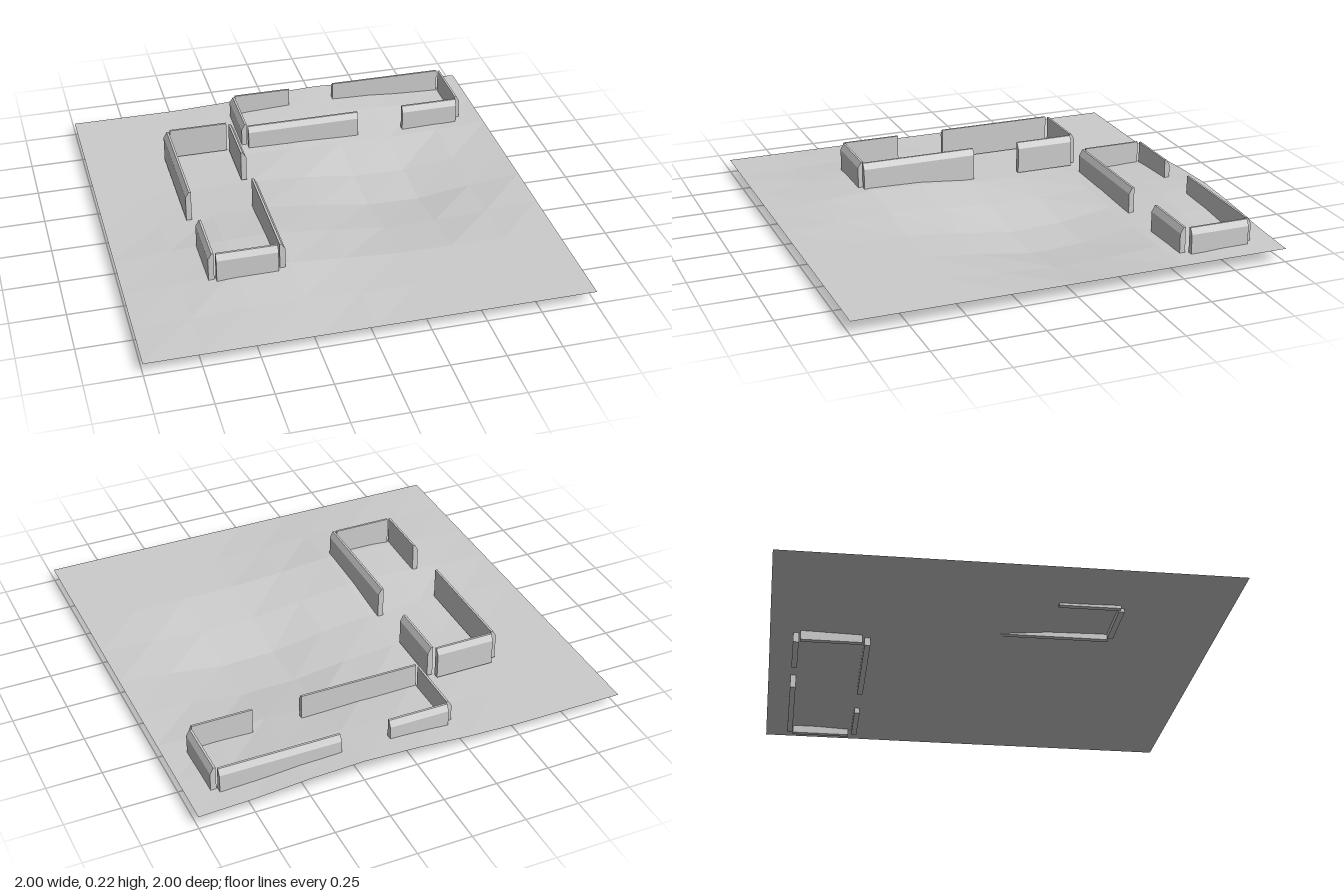
import * as THREE from 'three';

const grey = new THREE.MeshStandardMaterial({ color: 0xcccccc, flatShading: true });
const sheet = new THREE.MeshStandardMaterial({ color: 0xcccccc, flatShading: true, side: THREE.DoubleSide });

const THICK = 0.026, HEIGHT = 0.15;

// Smooth bump that fades to zero at radius rx, rz
function bump(x, z, cx, cz, rx, rz, amount) {
  const u = Math.min(1, Math.abs(x - cx) / rx), v = Math.min(1, Math.abs(z - cz) / rz);
  return amount * Math.cos(u * Math.PI / 2) ** 2 * Math.cos(v * Math.PI / 2) ** 2;
}

// Ground sheet with a hill, a hollow and a raised back edge
function makeTerrain() {
  const geo = new THREE.PlaneGeometry(2, 2, 8, 8).rotateX(-Math.PI / 2);
  const p = geo.attributes.position;
  for (let i = 0; i < p.count; i++) {
    const x = p.getX(i), z = p.getZ(i);
    p.setY(i, 0.064
      + bump(x, z, -0.36, 0.42, 0.64, 0.62, 0.043)
      + bump(x, z, 0.4, -0.08, 0.64, 0.6, -0.069)
      + bump(x, z, 0.25, -1, 0.75, 0.55, 0.04));
  }
  geo.computeVertexNormals();
  const mesh = new THREE.Mesh(geo, sheet);
  mesh.name = 'terrain';
  return mesh;
}

// Wall section: flat inside, chamfered along the outer top edge (outside is +x)
function wallProfile() {
  const h = THICK / 2;
  return new THREE.Shape([[-h, 0], [h, 0], [h, HEIGHT - 0.028], [h - 0.016, HEIGHT], [-h, HEIGHT]]
    .map(([x, y]) => new THREE.Vector2(x, y)));
}

const TURN = { right: 0, back: Math.PI / 2, left: Math.PI, front: -Math.PI / 2 };

// One wall run from a to b along its side, at offset "at" across it
function makeWall(side, at, a, b) {
  const geo = new THREE.ExtrudeGeometry(wallProfile(), { depth: b - a, bevelEnabled: false });
  geo.translate(0, 0, (a - b) / 2);
  const mesh = new THREE.Mesh(geo, grey);
  mesh.rotation.y = TURN[side];
  const mid = (a + b) / 2;
  if (side === 'left' || side === 'right') mesh.position.set(at, 0, mid);
  else mesh.position.set(mid, 0, at);
  mesh.name = side + 'Wall';
  return mesh;
}

function makeRuin(name, base, walls) {
  const ruin = new THREE.Group();
  ruin.name = name;
  ruin.position.y = base;
  walls.forEach((w) => ruin.add(makeWall(...w)));
  return ruin;
}

export function createModel() {
  const model = new THREE.Group();
  model.name = 'ruinsOnTerrain';
  model.add(makeTerrain());

  // Long enclosure running front to back on the hill
  model.add(makeRuin('hillEnclosure', 0.075, [
    ['back', -0.556, -0.592, -0.314],
    ['front', 0.533, -0.592, -0.314],
    ['left', -0.612, -0.537, 0.017],
    ['left', -0.612, 0.25, 0.525],
    ['right', -0.292, -0.537, -0.257],
    ['right', -0.292, -0.027, 0.527],
  ]));

  // Long enclosure running side to side near the back edge
  model.add(makeRuin('backEnclosure', 0.03, [
    ['back', -0.882, -0.2, 0.08],
    ['back', -0.882, 0.308, 0.864],
    ['front', -0.56, -0.203, 0.354],
    ['front', -0.56, 0.584, 0.864],
    ['left', -0.217, -0.863, -0.584],
    ['right', 0.882, -0.867, -0.588],
  ]));
  return model;
}
